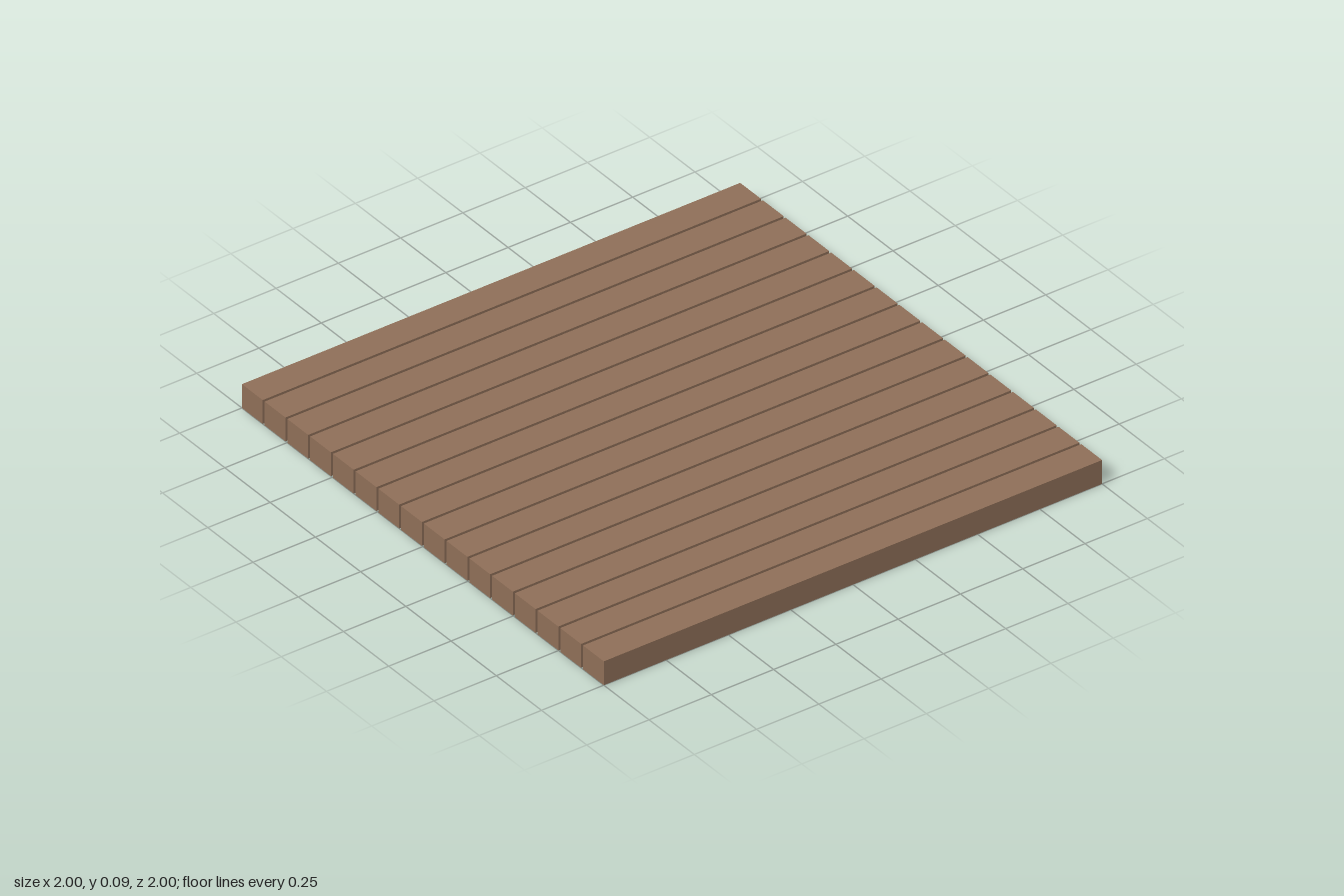
import * as THREE from 'three';

const PLANKS = 16;
const WIDTH = 0.115;   // plank width along z
const HEIGHT = 0.093;
const LENGTH = 2;

export function createModel() {
  const deck = new THREE.Group();
  deck.name = 'plankDeck';

  const wood = new THREE.MeshStandardMaterial({ color: 0x8f6f58 });
  const plankGeometry = new THREE.BoxGeometry(LENGTH, HEIGHT, WIDTH);
  const pitch = (2 - WIDTH) / (PLANKS - 1);

  // Planks run along x, laid side by side with narrow open gaps
  for (let i = 0; i < PLANKS; i++) {
    const plank = new THREE.Mesh(plankGeometry, wood);
    plank.name = `plank${i + 1}`;
    plank.position.set(0, HEIGHT / 2, -1 + WIDTH / 2 + i * pitch);
    deck.add(plank);
  }
  return deck;
}
